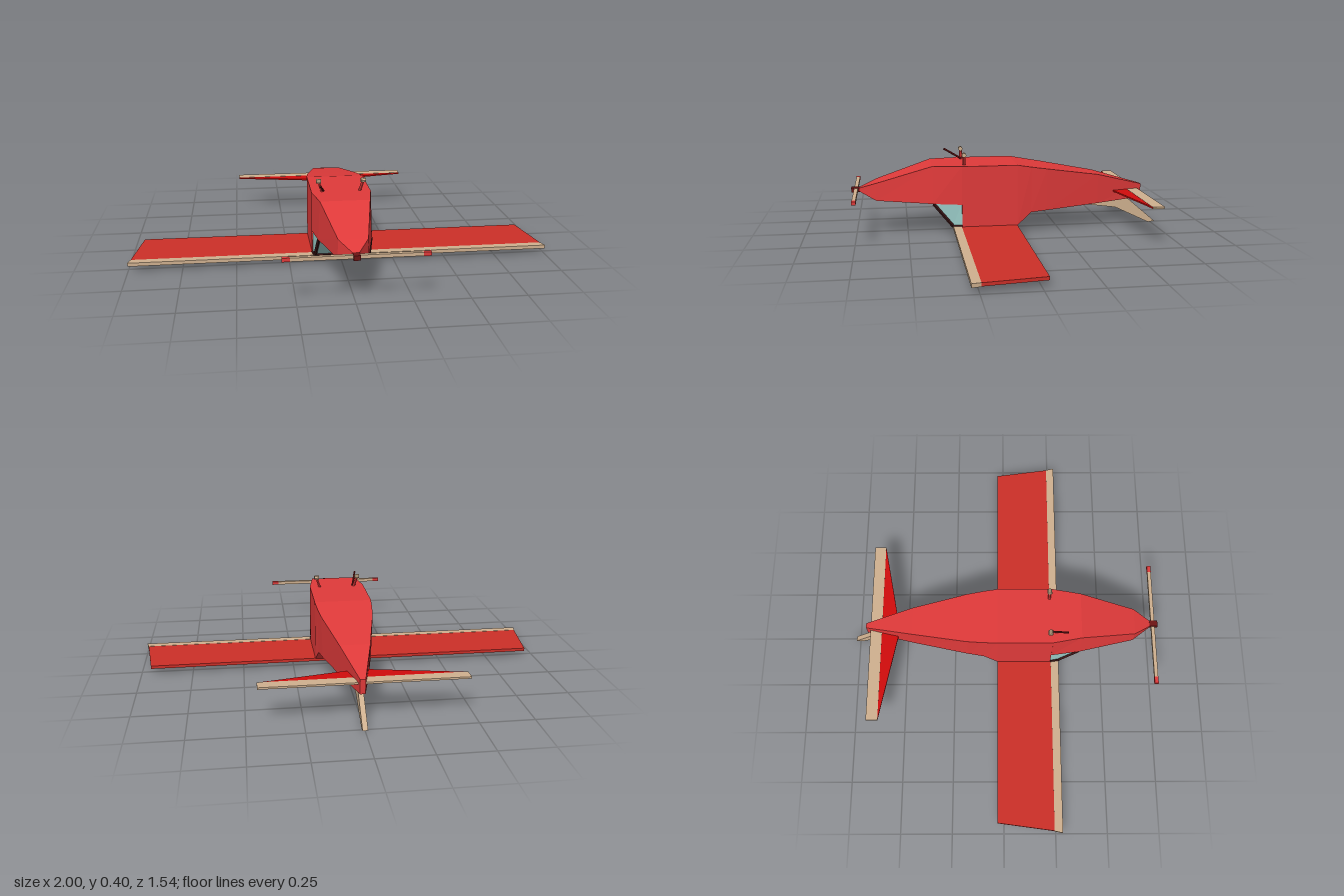
import * as THREE from 'three';

const paint = (color) => new THREE.MeshStandardMaterial({ color, flatShading: true, side: THREE.DoubleSide });
const red = paint(0xe03a3a);
const wingRed = paint(0xcc2f28);
const tailRed = paint(0xd00c0c);
const darkRed = paint(0x6e1414);
const wood = paint(0xcfb08f);
const glass = paint(0x9accc8);
const dark = paint(0x3a1616);

// Four corners of a cross-section, counter-clockwise seen from the front
const section = ([z, yb, yt, hb, ht = hb, zTop = z]) =>
  [[-hb, yb, z], [hb, yb, z], [ht, yt, zTop], [-ht, yt, zTop]];

// Skin over cross-sections listed from front to back:
// [z, bottom, top, half width at bottom, half width at top, z at top]
function loft(name, material, rows) {
  const s = rows.map(section), v = [];
  const quad = (a, b, c, d) => v.push(...a, ...b, ...c, ...a, ...c, ...d);
  for (let i = 0; i + 1 < s.length; i++)
    for (let k = 0; k < 4; k++) {
      const n = (k + 1) % 4;
      quad(s[i][k], s[i + 1][k], s[i + 1][n], s[i][n]);
    }
  quad(...s[0]);
  quad(...s[s.length - 1].slice().reverse());
  const g = new THREE.BufferGeometry();
  g.setAttribute('position', new THREE.Float32BufferAttribute(v, 3));
  g.computeVertexNormals();
  const m = new THREE.Mesh(g, material);
  m.name = name;
  return m;
}

// Thin rod between two points
function rod(name, material, a, b, r, sides = 6) {
  const p = new THREE.Vector3(...a), q = new THREE.Vector3(...b);
  const m = new THREE.Mesh(new THREE.CylinderGeometry(r, r, p.distanceTo(q), sides), material);
  m.position.copy(p).lerp(q, 0.5);
  m.quaternion.setFromUnitVectors(new THREE.Vector3(0, 1, 0), q.sub(p).normalize());
  m.name = name;
  return m;
}

function box(name, material, size, pos) {
  const m = new THREE.Mesh(new THREE.BoxGeometry(...size), material);
  m.position.set(...pos);
  m.name = name;
  return m;
}

export function createModel() {
  const plane = new THREE.Group();
  plane.name = 'invertedPlane';

  // Body with the cabin hanging below it
  plane.add(loft('fuselage', red, [
    [0.73, 0.207, 0.225, 0.015],
    [0.65, 0.17, 0.255, 0.068, 0.065],
    [0.38, 0.158, 0.34, 0.125, 0.115],
    [0.24, 0.153, 0.34, 0.142, 0.14],
    [0.24, 0.04, 0.34, 0.14],
    [-0.03, 0.04, 0.34, 0.14],
    [-0.1, 0.102, 0.328, 0.13, 0.134],
    [-0.18, 0.107, 0.315, 0.118, 0.124],
    [-0.45, 0.122, 0.27, 0.065, 0.07],
    [-0.69, 0.137, 0.205, 0.012],
  ]));

  // Sloping windscreen with side windows and dark frame
  plane.add(loft('windscreen', glass, [
    [0.285, 0.05, 0.157, 0.128, 0.12, 0.372],
    [0.24, 0.05, 0.157, 0.136, 0.136],
  ]));
  const frame = new THREE.Group();
  frame.name = 'windscreenFrame';
  for (const s of [-1, 1]) {
    frame.add(rod('pillar', dark, [s * 0.13, 0.044, 0.283], [s * 0.121, 0.157, 0.376], 0.008, 4));
    frame.add(rod('sideSill', dark, [s * 0.132, 0.047, 0.285], [s * 0.138, 0.047, 0.24], 0.006, 4));
  }
  frame.add(rod('frontSill', dark, [-0.13, 0.047, 0.285], [0.13, 0.047, 0.285], 0.006, 4));
  frame.add(rod('header', dark, [-0.12, 0.155, 0.372], [0.12, 0.155, 0.372], 0.006, 4));
  plane.add(frame);

  // Main wing and its leading edge
  plane.add(loft('wing', wingRed, [[0.243, 0.028, 0.043, 0.99], [-0.03, 0.028, 0.043, 0.953]]));
  plane.add(loft('wingLeadingEdge', wood, [[0.283, 0.027, 0.044, 1], [0.243, 0.027, 0.044, 0.991]]));

  // Tailplane, slightly off centre
  const tail = new THREE.Group();
  tail.name = 'tailplane';
  tail.position.x = -0.017;
  tail.add(loft('tailFrontPanel', tailRed, [[-0.53, 0.175, 0.182, 0.04], [-0.613, 0.175, 0.182, 0.46]]));
  tail.add(loft('elevator', wood, [[-0.613, 0.174, 0.183, 0.462], [-0.67, 0.174, 0.183, 0.462]]));
  plane.add(tail);

  // Fin sweeping down and back, drawn as (z, y) and turned into the side plane
  const finShape = new THREE.Shape([
    [-0.33, 0.125], [-0.35, 0.113], [-0.56, 0.085], [-0.725, 0.006],
    [-0.74, 0], [-0.77, 0.005], [-0.63, 0.125], [-0.6, 0.14],
  ].map(([z, y]) => new THREE.Vector2(-z, y)));
  const finGeo = new THREE.ExtrudeGeometry(finShape, { depth: 0.024, bevelEnabled: false });
  finGeo.translate(0, 0, -0.012).rotateY(Math.PI / 2);
  const fin = new THREE.Mesh(finGeo, wood);
  fin.name = 'fin';
  plane.add(fin);

  // Propeller with red tips
  const prop = new THREE.Group();
  prop.name = 'propeller';
  prop.position.set(0.003, 0.215, 0.747);
  prop.add(box('blade', wood, [0.56, 0.016, 0.018], [0, 0, 0]));
  for (const s of [-1, 1]) prop.add(box('bladeTip', red, [0.033, 0.017, 0.019], [s * 0.296, 0, 0]));
  prop.add(box('hub', darkRed, [0.03, 0.022, 0.04], [-0.003, 0, 0.003]));
  plane.add(prop);

  // Upturned landing gear stubs
  for (const s of [-1, 1]) {
    const gear = new THREE.Group();
    gear.name = s > 0 ? 'leftGear' : 'rightGear';
    gear.add(rod('gearLeg', red, [s * 0.088, 0.335, 0.225], [s * 0.105, 0.385, 0.225], 0.007));
    gear.add(rod('gearHub', wood, [s * 0.094, 0.39, 0.226], [s * 0.117, 0.39, 0.226], 0.011, 8));
    plane.add(gear);
  }
  plane.add(rod('brokenStrut', darkRed, [-0.083, 0.343, 0.225], [-0.106, 0.391, 0.31], 0.005));

  return plane;
}
